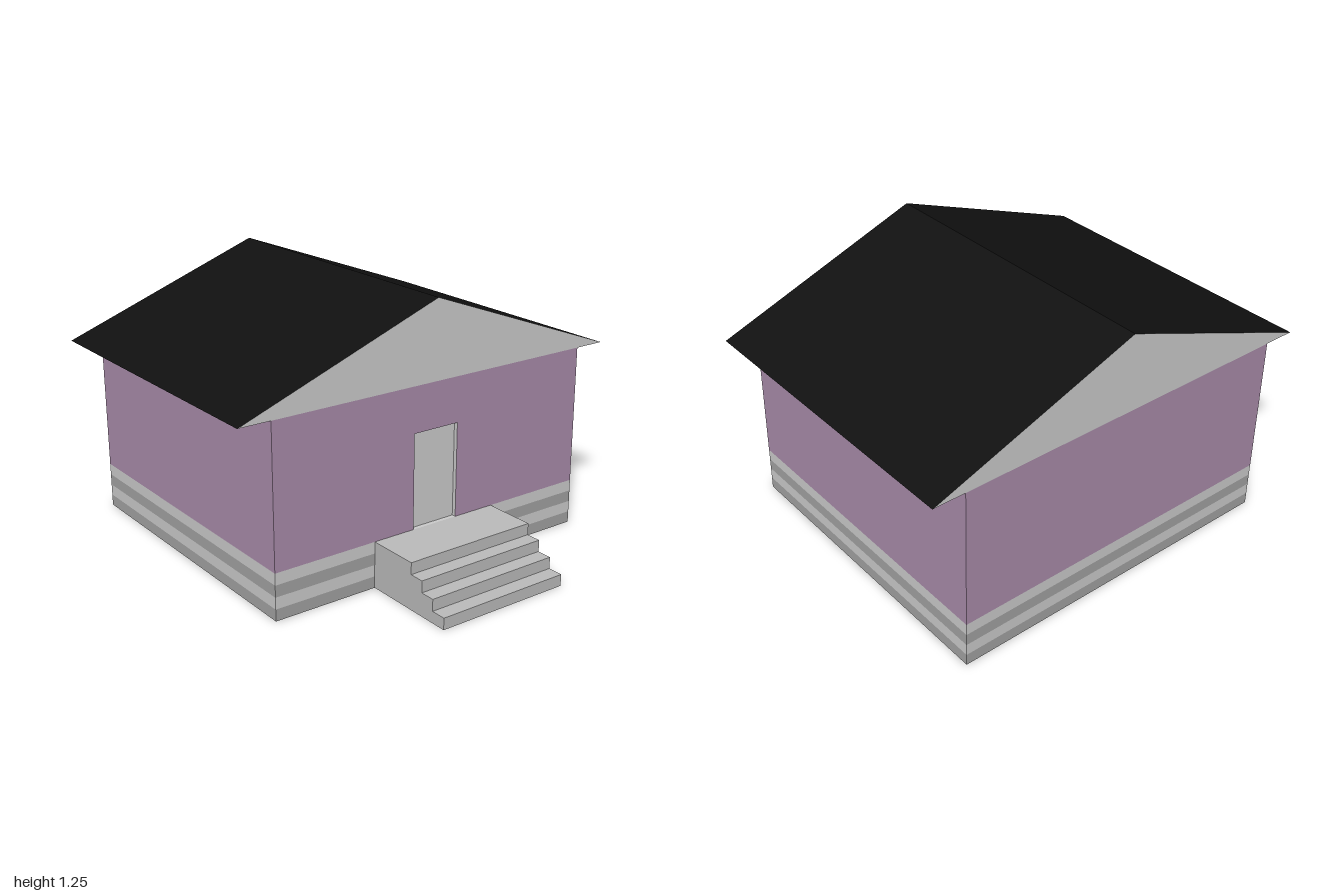
import * as THREE from 'three';

const X0 = -0.99, X1 = 0.52, ZW = 0.845;       // house ends, wall half depth
const BASE = 0.22, EAVE = 0.885, RIDGE = 1.255; // heights
const DOOR_W = 0.12, DOOR_TOP = 0.67, RECESS = 0.02;

const paint = (color) => new THREE.MeshStandardMaterial({ color, side: THREE.DoubleSide, flatShading: true });

export function createModel() {
  const house = new THREE.Group();
  house.name = 'house';
  const grey = paint(0xcccccc), darkGrey = paint(0xa2a2a2), stone = paint(0xbbbbbb);
  const purple = paint(0xa98caa), black = paint(0x101010);

  const add = (name, geometry, material, parent = house) => {
    const mesh = new THREE.Mesh(geometry, material);
    mesh.name = name;
    parent.add(mesh);
    return mesh;
  };

  // Flat panel from a loop of corners, as a triangle fan
  const panel = (...p) => {
    const g = new THREE.BufferGeometry();
    const v = [];
    for (let i = 1; i < p.length - 1; i++) v.push(...p[0], ...p[i], ...p[i + 1]);
    g.setAttribute('position', new THREE.Float32BufferAttribute(v, 3));
    g.computeVertexNormals();
    return g;
  };

  // Panels facing +/-z and +/-x
  const zPanel = (z, y0, y1) => {
    const [a, b] = z > 0 ? [X0, X1] : [X1, X0];
    return panel([a, y0, z], [b, y0, z], [b, y1, z], [a, y1, z]);
  };
  const xPanel = (x, y0, y1, z0 = -ZW, z1 = ZW) => {
    const [a, b] = x > 0 ? [z1, z0] : [z0, z1];
    return panel([x, y0, a], [x, y0, b], [x, y1, b], [x, y1, a]);
  };

  // Striped foundation, open underneath
  const foundation = new THREE.Group();
  foundation.name = 'foundation';
  house.add(foundation);
  for (let i = 0; i < 4; i++) {
    const y0 = BASE * i / 4, y1 = BASE * (i + 1) / 4;
    const mat = i % 2 ? grey : darkGrey;
    for (const z of [-ZW, ZW]) add('foundationBand', zPanel(z, y0, y1), mat, foundation);
    for (const x of [X0, X1]) add('foundationBand', xPanel(x, y0, y1), mat, foundation);
  }

  // Walls; the entrance wall is split around the doorway
  add('frontWall', zPanel(ZW, BASE, EAVE), purple);
  add('backWall', zPanel(-ZW, BASE, EAVE), purple);
  add('rearEndWall', xPanel(X0, BASE, EAVE), purple);
  add('entranceWallSide', xPanel(X1, BASE, EAVE, DOOR_W, ZW), purple);
  add('entranceWallSide', xPanel(X1, BASE, EAVE, -ZW, -DOOR_W), purple);
  add('entranceWallTop', xPanel(X1, DOOR_TOP, EAVE, -DOOR_W, DOOR_W), purple);

  // Recessed door with its reveals
  const XD = X1 - RECESS, W = DOOR_W;
  add('door', xPanel(XD, BASE, DOOR_TOP, -W, W), grey);
  add('doorLintel', panel([XD, DOOR_TOP, -W], [X1, DOOR_TOP, -W], [X1, DOOR_TOP, W], [XD, DOOR_TOP, W]), grey);
  add('doorSill', panel([XD, BASE, W], [X1, BASE, W], [X1, BASE, -W], [XD, BASE, -W]), grey);
  add('doorJamb', panel([XD, BASE, -W], [X1, BASE, -W], [X1, DOOR_TOP, -W], [XD, DOOR_TOP, -W]), grey);
  add('doorJamb', panel([X1, BASE, W], [XD, BASE, W], [XD, DOOR_TOP, W], [X1, DOOR_TOP, W]), grey);

  // Gabled roof: slopes, flat eaves and end triangles
  add('frontRoofSlope', panel([X0, EAVE, 1], [X1, EAVE, 1], [X1, RIDGE, 0], [X0, RIDGE, 0]), black);
  add('backRoofSlope', panel([X1, EAVE, -1], [X0, EAVE, -1], [X0, RIDGE, 0], [X1, RIDGE, 0]), black);
  add('frontEave', panel([X0, EAVE, ZW], [X1, EAVE, ZW], [X1, EAVE, 1], [X0, EAVE, 1]), grey);
  add('backEave', panel([X0, EAVE, -1], [X1, EAVE, -1], [X1, EAVE, -ZW], [X0, EAVE, -ZW]), grey);
  add('entranceGable', panel([X1, EAVE, 1], [X1, EAVE, -1], [X1, RIDGE, 0]), grey);
  add('rearGable', panel([X0, EAVE, -1], [X0, EAVE, 1], [X0, RIDGE, 0]), grey);

  // Porch and steps, extruded from the stepped side outline
  const outline = new THREE.Shape().moveTo(X1, 0);
  const edges = [0.99, 0.917, 0.845, 0.773];
  edges.forEach((x, i) => outline.lineTo(x, BASE * i / 4).lineTo(x, BASE * (i + 1) / 4));
  outline.lineTo(X1, BASE);
  const steps = new THREE.ExtrudeGeometry(outline, { depth: 0.666, bevelEnabled: false });
  steps.translate(0, 0, -0.333);
  add('entranceSteps', steps, stone);

  return house;
}
